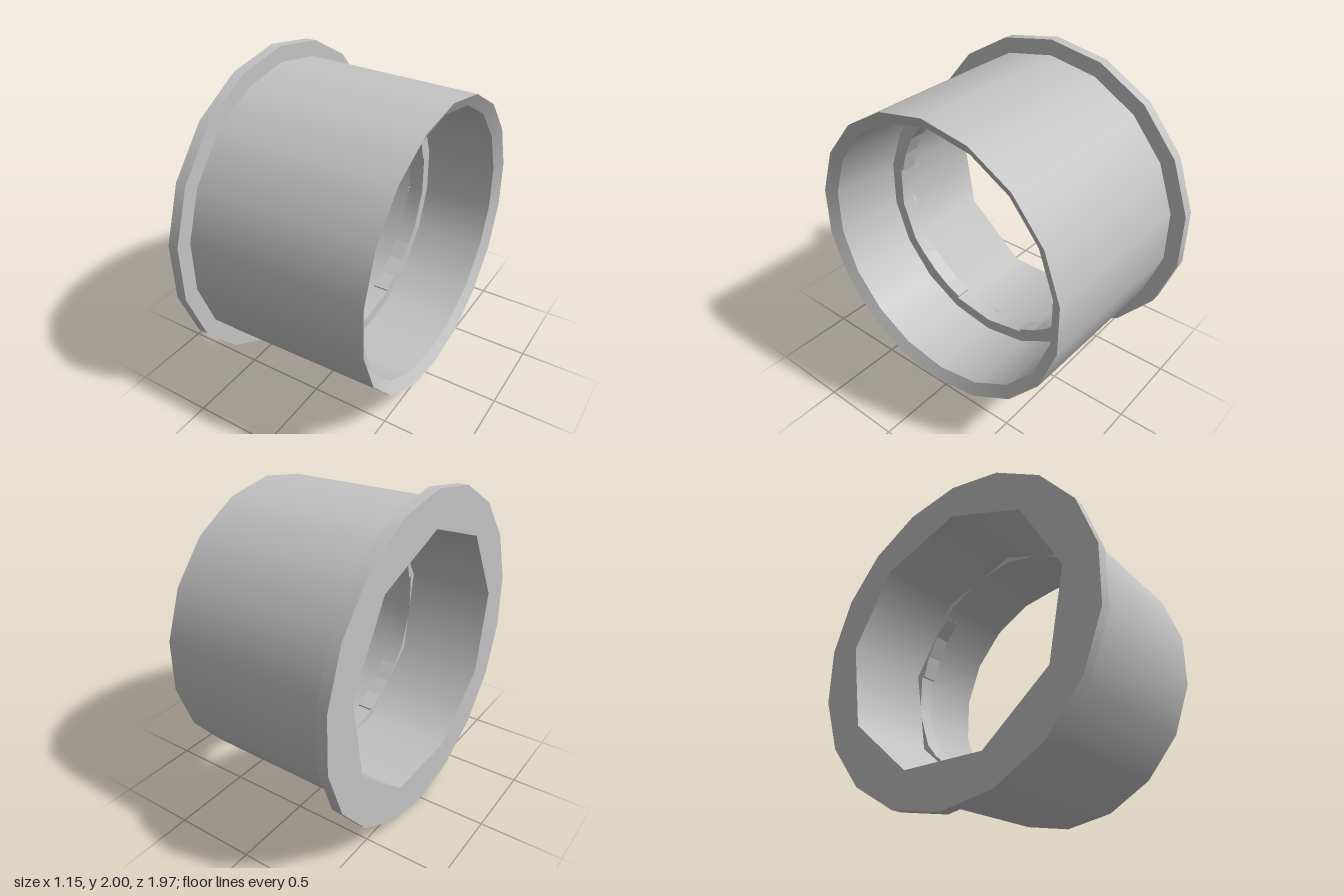
import * as THREE from 'three';

const SIDES = 18, BORE_SIDES = 9;
const BACK = -0.58, BORE_R = 0.785, LEDGE_BACK = -0.03, LEDGE_FRONT = 0.07;

export function createModel() {
  const group = new THREE.Group();
  const grey = new THREE.MeshStandardMaterial({ color: 0xc4c4c4 });
  grey.name = 'light grey';

  const add = (name, geometry) => {
    const mesh = new THREE.Mesh(geometry, grey);
    mesh.name = name;
    mesh.position.y = 1;
    group.add(mesh);
  };

  // One smooth band around the x axis, from [x, radius] to [x, radius]
  const band = (name, a, b, sides = SIDES) => {
    const points = [a, b].map(([x, r]) => new THREE.Vector2(r, x));
    const geometry = new THREE.LatheGeometry(points, sides, -Math.PI / 2);
    add(name, geometry.rotateZ(-Math.PI / 2));
  };

  // Points on a circle, with angles in degrees measured from the top
  const arc = (r, from, to, steps) => Array.from({ length: steps + 1 }, (_, i) => {
    const a = THREE.MathUtils.degToRad(from + (to - from) * i / steps);
    return new THREE.Vector2(r * Math.sin(a), r * Math.cos(a));
  });

  // Flange, tapered sleeve, chamfered rim, inner wall and ledge
  const profile = [
    ['flangeEdge', BACK, 1],
    ['flangeFront', -0.515, 1],
    ['sleeve', -0.515, 0.905],
    ['rimChamfer', 0.575, 0.89],
    ['innerWall', 0.535, 0.82],
    ['ledgeFront', LEDGE_FRONT, 0.82],
    ['ledgeInside', LEDGE_FRONT, 0.745],
    ['ledgeBack', LEDGE_BACK, 0.745],
    ['', LEDGE_BACK, 0.79],
  ];
  for (let i = 0; i < profile.length - 1; i++) {
    band(profile[i][0], profile[i].slice(1), profile[i + 1].slice(1));
  }

  // Nine-sided bore behind the ledge
  band('bore', [LEDGE_BACK, BORE_R], [BACK, BORE_R], BORE_SIDES);

  // Flat back of the flange with the nine-sided opening
  const face = new THREE.Shape(arc(1, 0, 360, SIDES).slice(0, -1));
  face.holes.push(new THREE.Path(arc(BORE_R, 0, 360, BORE_SIDES).slice(0, -1)));
  add('flangeBack', new THREE.ShapeGeometry(face).rotateY(-Math.PI / 2).translate(BACK, 0, 0));

  // Shallow tabs on the inside of the ledge, mirrored front to back
  for (const [from, to] of [[46, 80], [130, 159]]) {
    for (const side of [1, -1]) {
      const outline = [...arc(0.78, from * side, to * side, 3), ...arc(0.728, to * side, from * side, 3)];
      const geometry = new THREE.ExtrudeGeometry(new THREE.Shape(outline), {
        depth: LEDGE_FRONT - LEDGE_BACK, bevelEnabled: false,
      });
      add('ledgeTab', geometry.rotateY(-Math.PI / 2).translate(LEDGE_FRONT + 0.001, 0, 0));
    }
  }
  return group;
}
